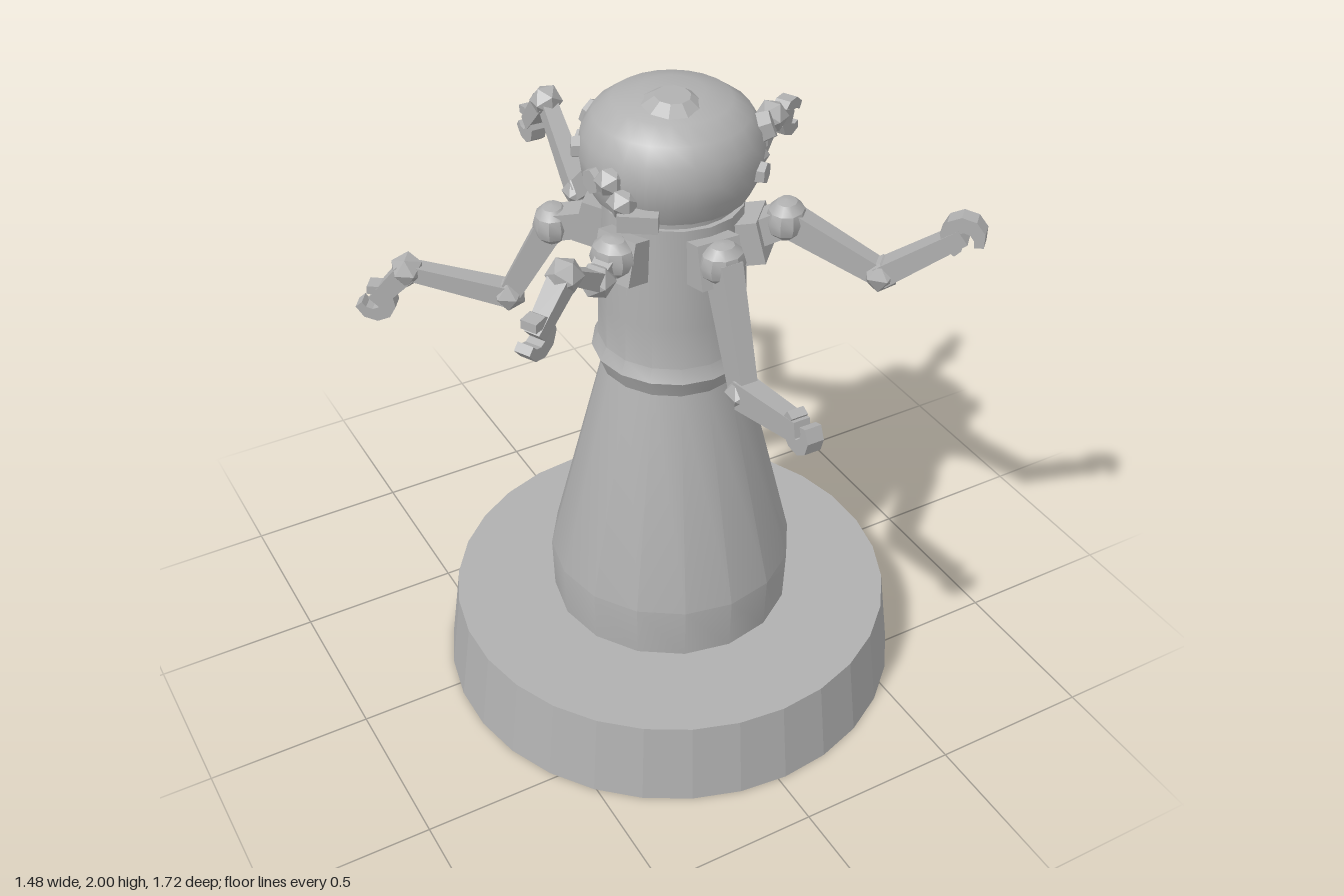
import * as THREE from 'three';
import { toCreasedNormals } from 'three/addons/utils/BufferGeometryUtils.js';

const CX = 0.025, CZ = 0.12; // axis of the tower
const V = (x, y, z) => new THREE.Vector3(x, y, z);

export function createModel() {
  const model = new THREE.Group();
  model.name = 'armedTower';
  const stone = new THREE.MeshStandardMaterial({ color: 0xb0b0b0 });
  stone.name = 'stone grey';

  function add(parent, name, geo, x = 0, y = 0, z = 0) {
    const mesh = new THREE.Mesh(geo, stone);
    mesh.name = name;
    mesh.position.set(x, y, z);
    parent.add(mesh);
    return mesh;
  }
  const lathe = (pts, sides, crease) =>
    toCreasedNormals(new THREE.LatheGeometry(pts.map(p => new THREE.Vector2(...p)), sides), crease);
  const faceted = geo => toCreasedNormals(geo, 0.1);

  // Round plinth
  add(model, 'plinth', faceted(new THREE.CylinderGeometry(0.682, 0.715, 0.26, 30)), CX, 0.13, CZ);

  // Tapering body with a collar, then a straight neck
  add(model, 'body', lathe([
    [0, 0.255], [0.37, 0.255], [0.376, 0.43], [0.207, 1.12], [0.215, 1.125],
    [0.237, 1.18], [0.218, 1.22], [0.215, 1.35], [0.2, 1.66], [0, 1.66],
  ], 16, 0.45), CX, 0, CZ);

  // Rounded head
  add(model, 'head', lathe([
    [0, 1.63], [0.192, 1.635], [0.195, 1.685], [0.222, 1.69], [0.25, 1.75], [0.258, 1.81],
    [0.248, 1.87], [0.218, 1.92], [0.165, 1.958], [0.09, 1.978], [0, 1.982],
  ], 24, 0.6), 0.022, 0, 0.11);

  // Crown button
  const button = add(model, 'crownButton',
    faceted(new THREE.CylinderGeometry(0.05, 0.085, 0.025, 10)), -0.008, 1.983, 0.165);
  button.rotation.x = 0.08;

  // Hexagonal studs round the head: angle from the front, height, radius
  const studs = [[61, 1.87, 0.048], [40, 1.78, 0.036], [82, 1.79, 0.042], [114, 1.82, 0.036],
    [138, 1.78, 0.04], [150, 1.84, 0.045]];
  for (const side of [1, -1]) for (const [deg, y, r] of studs) {
    if (side < 0 && deg < 62) continue;
    const a = side * deg * Math.PI / 180;
    const geo = new THREE.CylinderGeometry(r * 0.85, r, 0.05, 6);
    geo.rotateX(Math.PI / 2);
    const stud = add(model, 'headStud', faceted(geo),
      0.022 + Math.sin(a) * 0.25, y, 0.11 + Math.cos(a) * 0.25);
    stud.rotation.set(y > 1.83 ? -0.35 : 0, a, 0, 'YXZ');
  }
  for (const [x, y, z] of [[-0.215, 1.81, 0.2], [-0.2, 1.76, 0.24]]) {
    add(model, 'headStud', faceted(new THREE.IcosahedronGeometry(0.045, 0)), x, y, z);
  }
  add(model, 'cheekBlock', new THREE.BoxGeometry(0.11, 0.05, 0.06), -0.175, 1.72, 0.28).rotation.y = -0.6;

  // Tapered bar between two points, its flat side kept upright
  function bar(parent, name, a, b, w0, w1, t0, t1) {
    const dir = b.clone().sub(a), len = dir.length();
    dir.normalize();
    const geo = new THREE.BoxGeometry(1, len, 1);
    const p = geo.attributes.position;
    for (let i = 0; i < p.count; i++) {
      const top = p.getY(i) > 0;
      p.setX(i, p.getX(i) * (top ? w1 : w0));
      p.setZ(i, p.getZ(i) * (top ? t1 : t0));
    }
    const side = dir.clone().cross(V(0, 1, 0)).normalize();
    geo.applyMatrix4(new THREE.Matrix4().makeBasis(side, dir, side.clone().cross(dir)));
    geo.computeVertexNormals();
    const mid = a.clone().lerp(b, 0.5);
    return add(parent, name, geo, mid.x, mid.y, mid.z);
  }

  // Open claw, with its mouth along +x
  function clawGeometry() {
    const shape = new THREE.Shape(), n = 7, gap = 0.75;
    for (let i = 0; i <= n; i++) {
      const a = gap + (2 * Math.PI - 2 * gap) * i / n;
      shape[i ? 'lineTo' : 'moveTo'](0.062 * Math.cos(a), 0.062 * Math.sin(a));
    }
    for (let i = n; i >= 0; i--) {
      const a = gap + (2 * Math.PI - 2 * gap) * i / n;
      shape.lineTo(0.03 * Math.cos(a) + 0.014, 0.026 * Math.sin(a));
    }
    const geo = new THREE.ExtrudeGeometry(shape, { depth: 0.05, bevelEnabled: false });
    geo.translate(0, 0, -0.025);
    return geo;
  }

  // Arms: joints from shoulder to hand, and the claw's pitch in the arm's plane
  const arms = [
    { name: 'frontArm', thick: 1.35, pitch: 1.5,
      joints: [V(0.022, 1.59, 0.39), V(0.022, 1.24, 0.52), V(0.022, 1.3, 0.81)] },
    { name: 'backArm', thick: 1, pitch: 0.3,
      joints: [V(0.01, 1.61, -0.2), V(0.01, 1.4, -0.44), V(0.015, 1.61, -0.66), V(0.02, 1.475, -0.79)] },
    { name: 'backRightArm', thick: 1, pitch: 0.5,
      joints: [V(-0.24, 1.53, -0.11), V(-0.35, 1.28, -0.19), V(-0.6, 1.35, -0.35), V(-0.68, 1.235, -0.415)] },
    { name: 'frontRightArm', thick: 0.85, pitch: 0.4,
      joints: [V(-0.22, 1.59, 0.22), V(-0.29, 1.555, 0.26), V(-0.42, 1.65, 0.33), V(-0.54, 1.535, 0.39)] },
    { name: 'backLeftArm', thick: 0.8, pitch: -0.2,
      joints: [V(0.31, 1.61, -0.07), V(0.44, 1.56, -0.13), V(0.54, 1.64, -0.185), V(0.625, 1.6, -0.235)] },
    { name: 'frontLeftArm', thick: 1, pitch: -1.1,
      joints: [V(0.255, 1.635, 0.34), V(0.44, 1.51, 0.54), V(0.59, 1.67, 0.69)] },
  ];
  for (const { name, joints, thick, pitch } of arms) {
    const arm = new THREE.Group();
    arm.name = name;
    model.add(arm);
    const first = joints[0], last = joints[joints.length - 1];
    const yaw = Math.atan2(last.x - first.x, last.z - first.z);

    // Mounting block on the neck and a flattened shoulder ball
    const out = Math.atan2(first.x - CX, first.z - CZ);
    const mount = add(arm, 'shoulderMount', new THREE.BoxGeometry(0.13, 0.13, 0.13),
      CX + Math.sin(out) * 0.2, 1.565, CZ + Math.cos(out) * 0.2);
    mount.rotation.set(-0.25, out, 0, 'YXZ');
    bar(arm, 'shoulderLink', mount.position, first, 0.08, 0.08, 0.08, 0.08);
    const ball = add(arm, 'shoulder', toCreasedNormals(new THREE.SphereGeometry(0.072, 10, 6), 0.5),
      first.x, first.y, first.z);
    ball.scale.set(0.95, 0.85, 0.8);
    ball.rotation.y = yaw;

    // Limb bars with a faceted ball at each bend
    for (let i = 1; i < joints.length; i++) {
      const t = 0.075 * thick * (i === 1 ? 1.1 : 0.85);
      bar(arm, i === 1 ? 'upperArm' : 'forearm', joints[i - 1], joints[i], 0.065, 0.05, t, t * 0.75);
      if (i < joints.length - 1) {
        const j = joints[i];
        add(arm, 'elbow', faceted(new THREE.IcosahedronGeometry(0.053, 0)), j.x, j.y, j.z).rotation.y = yaw;
      }
    }

    // Claw hand
    add(arm, 'claw', clawGeometry(), last.x, last.y, last.z)
      .rotation.set(0, yaw - Math.PI / 2, pitch, 'YXZ');
  }
  return model;
}
